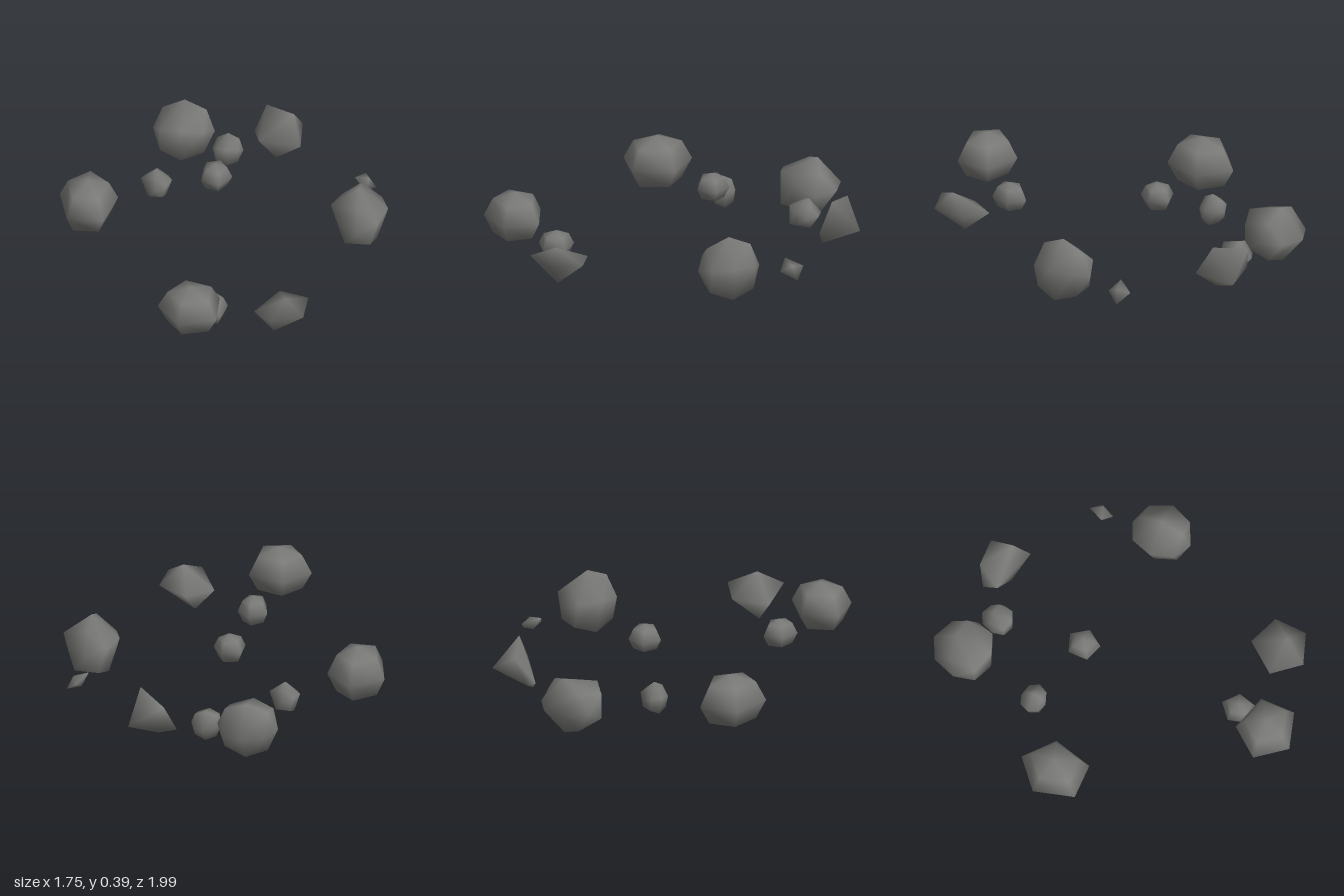
import * as THREE from 'three';
import { mergeVertices } from 'three/addons/utils/BufferGeometryUtils.js';
import { ConvexGeometry } from 'three/addons/geometries/ConvexGeometry.js';

// weld all corners so the few facets shade smoothly
function smooth(geometry) {
  geometry.deleteAttribute('uv');
  geometry.deleteAttribute('normal');
  const welded = mergeVertices(geometry, 1e-4);
  welded.computeVertexNormals();
  return welded;
}

// five-sided boulder lying along an axis, stretched to fill the box lo..hi
function boulder(axis, spin, lo, hi) {
  const g = new THREE.SphereGeometry(1, 5, 4);
  g.rotateY(spin);
  if (axis === 'z') g.rotateX(Math.PI / 2);
  if (axis === 'x') g.rotateZ(-Math.PI / 2);
  g.computeBoundingBox();
  const from = g.boundingBox.getSize(new THREE.Vector3());
  g.center();
  g.scale((hi[0] - lo[0]) / from.x, (hi[1] - lo[1]) / from.y, (hi[2] - lo[2]) / from.z);
  g.translate((hi[0] + lo[0]) / 2, (hi[1] + lo[1]) / 2, (hi[2] + lo[2]) / 2);
  return smooth(g);
}

// sharp chip spanned by a few corner points
function shard(points) {
  return smooth(new ConvexGeometry(points.map((p) => new THREE.Vector3(...p))));
}

export function createModel() {
  const group = new THREE.Group();
  group.name = 'scatteredRocks';
  const stone = new THREE.MeshStandardMaterial({ color: 0x7a7a78 });
  stone.name = 'stoneGrey';
  const add = (name, geometry) => {
    const mesh = new THREE.Mesh(geometry, stone);
    mesh.name = name;
    group.add(mesh);
  };
  const Q = -Math.PI / 2;

  // large boulders
  add('rightBoulder', boulder('y', Q, [-0.88, 0.03, -0.3], [-0.57, 0.33, 0.05]));
  add('leftBoulder', boulder('z', Q, [0.565, 0.045, -0.295], [0.87, 0.37, 0.04]));
  add('backBoulder', boulder('x', Q, [-0.45, 0, -1], [-0.12, 0.31, -0.67]));
  add('frontBoulder', boulder('y', 0, [-0.26, 0.115, 0.68], [0.06, 0.39, 0.99]));

  // small stones
  add('rightStone', boulder('z', Q, [-0.47, 0.05, -0.45], [-0.305, 0.215, -0.31]));
  add('middleStone', boulder('y', Math.PI, [-0.13, 0.23, -0.325], [0.03, 0.39, -0.15]));
  add('backStone', boulder('x', Q, [-0.125, 0.02, -0.83], [0.04, 0.19, -0.655]));
  add('frontStone', boulder('y', Q, [-0.07, 0.02, 0.535], [0.09, 0.185, 0.715]));

  // sharp shards
  add('frontShard', shard([
    [0.24, 0.155, 0.71], [0.36, 0.18, 0.55], [0.52, 0.2, 0.62], [0.51, 0.205, 0.8],
    [0.34, 0.21, 0.86], [0.415, 0.275, 0.74], [0.345, 0.035, 0.71],
  ]));
  add('backShard', shard([
    [0.085, 0.125, -0.88], [0.145, 0.27, -0.925], [0.335, 0.145, -0.945], [0.345, 0.16, -0.72],
    [0.115, 0.11, -0.81], [0.21, 0.04, -0.77], [0.3, 0.315, -0.8],
  ]));

  // tiny chip
  add('tinyChip', shard([
    [0.66, 0.19, -0.45], [0.772, 0.1, -0.49], [0.72, 0.138, -0.408], [0.71, 0.155, -0.538],
    [0.738, 0.172, -0.472], [0.694, 0.118, -0.476],
  ]));
  return group;
}
